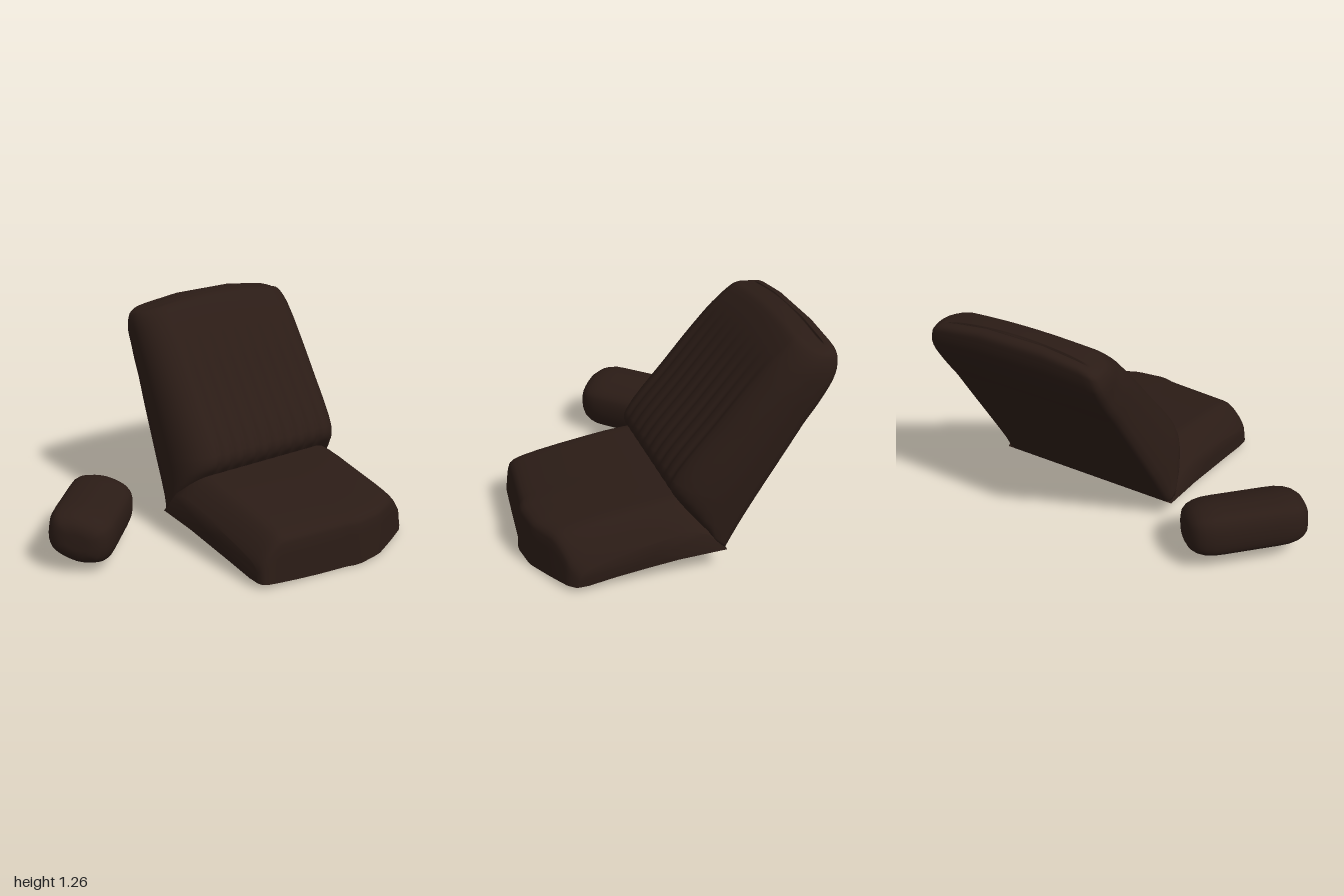
import * as THREE from 'three';
import { toCreasedNormals } from 'three/addons/utils/BufferGeometryUtils.js';

const { lerp, clamp } = THREE.MathUtils;

// Skin a list of closed rings (Vector3 arrays of equal length) and cap both ends.
function loft(rings, crease) {
  const n = rings[0].length, index = [];
  const points = rings.flat();
  for (let i = 0; i < rings.length - 1; i++) {
    for (let j = 0; j < n; j++) {
      const k = (j + 1) % n, a = i * n, b = a + n;
      index.push(a + j, a + k, b + k, a + j, b + k, b + j);
    }
  }
  const centre = ring => new THREE.Box3().setFromPoints(ring).getCenter(new THREE.Vector3());
  const first = points.length, end = (rings.length - 1) * n;
  points.push(centre(rings[0]), centre(rings[rings.length - 1]));
  for (let j = 0; j < n; j++) {
    const k = (j + 1) % n;
    index.push(first, k, j, first + 1, end + j, end + k);
  }
  const g = new THREE.BufferGeometry().setFromPoints(points);
  g.setIndex(index);
  g.computeVertexNormals();
  return crease ? toCreasedNormals(g, crease) : g;
}

// Piecewise linear lookup in [[x, y], ...]
function table(rows, x) {
  for (let i = 1; i < rows.length; i++) {
    const [a, b] = [rows[i - 1], rows[i]];
    if (x <= b[0]) return lerp(a[1], b[1], clamp((x - a[0]) / (b[0] - a[0]), 0, 1));
  }
  return rows[rows.length - 1][1];
}

// Seat cushion: a side profile swept across the width, with rounded shoulders
function seatGeometry() {
  const top = [[-0.12, 0.36], [-0.05, 0.38], [0.02, 0.38], [0.15, 0.37], [0.3, 0.352], [0.45, 0.332],
    [0.58, 0.312], [0.66, 0.297], [0.71, 0.285], [0.742, 0.272], [0.762, 0.256], [0.77, 0.235], [0.775, 0.18]];
  const bottom = [[0.785, 0], [0.7, 0.004], [0.5, 0.035], [0.27, 0.068], [0.05, 0.1], [-0.23, 0.12]];
  const nose = [[-0.205, 0.675], [-0.195, 0.705], [-0.17, 0.718], [0.05, 0.737], [0.35, 0.763], [0.42, 0.785],
    [0.6, 0.76], [0.75, 0.69], [0.88, 0.625], [0.92, 0.585]];
  const left = -0.205, right = 0.92, rings = [], steps = 40;
  for (let i = 0; i <= steps; i++) {
    const s = -Math.cos(Math.PI * i / steps);
    const x = lerp(left, right, (s + 1) / 2);
    const k = Math.max(0, 1 - (x - left) / 0.15, 1 - (right - x) / 0.17);
    const drop = (s < 0 ? 0.15 : 0.17) * Math.pow(k, 1.6);
    const front = table(nose, x) - 0.785;
    const place = ([z, y], dy) => {
      const f = clamp(z / 0.785, 0, 1);
      const widen = 0.025 * (1 - clamp((z + 0.2) / 0.6, 0, 1)) * (s + 1) / 2;
      return new THREE.Vector3(x + widen, y + dy(f), z + front * f);
    };
    rings.push([
      ...top.map(p => place(p, f => -drop * (0.75 + 0.25 * f) * clamp((p[1] - 0.03) / 0.2, 0, 1))),
      ...bottom.map(p => place(p, f => 0.03 * s * s * f)),
    ]);
  }
  return loft(rings, 1.0);
}

// Backrest: rounded sections stacked between a front and a back line
function backrestGeometry() {
  // [front z, front y, back z, back y, inset at the sides]
  const rows = [
    [-0.1, 0.25, -0.23, 0.12, 0], [0.0, 0.38, -0.27, 0.19, 0], [0.033, 0.44, -0.32, 0.28, 0],
    [0.025, 0.5, -0.38, 0.385, 0], [-0.2, 0.8, -0.55, 0.685, 0], [-0.35, 0.99, -0.63, 0.83, 0],
    [-0.47, 1.135, -0.705, 0.96, 0], [-0.565, 1.225, -0.775, 1.11, 0.008],
    [-0.605, 1.253, -0.787, 1.2, 0.03], [-0.645, 1.261, -0.782, 1.24, 0.06],
    [-0.69, 1.262, -0.76, 1.259, 0.09], [-0.72, 1.262, -0.73, 1.262, 0.11],
  ];
  const front = new THREE.CatmullRomCurve3(rows.map(r => new THREE.Vector3(r[4], r[1], r[0])));
  const back = new THREE.CatmullRomCurve3(rows.map(r => new THREE.Vector3(r[4], r[3], r[2])));
  // Section outline as [side -1..1, depth 0 back..1 front]
  const edge = [[1, 0.25], [1, 0.45], [0.985, 0.6], [0.95, 0.74], [0.9, 0.85], [0.84, 0.93], [0.77, 0.985]];
  const rear = [[0.995, 0.14], [0.975, 0.05], [0.93, 0.01], [0.85, 0], [0.4, 0]];
  const flip = list => list.map(([s, d]) => [-s, d]);
  const panel = Array.from({ length: 73 }, (_, i) => [lerp(-0.72, 0.72, i / 72), 1]);
  const outline = [...flip(edge), ...panel, ...[...edge].reverse(), ...rear, ...flip(rear).reverse()];
  const rings = [], steps = 55;
  for (let i = 0; i <= steps; i++) {
    const t = i / steps, F = front.getPoint(t), B = back.getPoint(t);
    const flute = 0.014 * table([[0.08, 0], [0.17, 1], [0.41, 0.8], [0.56, 0]], t);
    rings.push(outline.map(([s, d]) => {
      const p = B.clone().lerp(F, d);
      const h = clamp(((F.y + B.y) / 2 - 0.17) / 0.93, 0, 1);
      const xl = lerp(-0.207, -0.115, h) + F.x, xr = lerp(0.942, 1.0, h) - F.x;
      // vertical flutes across the front panel
      if (d === 1) p.z -= flute * Math.pow(Math.abs(Math.sin(Math.PI * s * 9 / 1.44 + Math.PI / 2)), 4)
        * clamp((0.72 - Math.abs(s)) / 0.03, 0, 1);
      p.y -= 0.045 * s * s * clamp((t - 0.45) / 0.35, 0, 1);
      p.x = lerp(xl, xr, (s + 1) / 2);
      return p;
    }));
  }
  return loft(rings);
}

// Loose pillow: a slanted rounded section that narrows at both ends
function pillowGeometry() {
  const section = [[-0.15, 0.335], [-0.09, 0.354], [0.02, 0.35], [0.14, 0.3], [0.182, 0.25], [0.182, 0.13],
    [0.145, 0.06], [0.08, 0.04], [-0.02, 0.045], [-0.14, 0.1], [-0.183, 0.15], [-0.183, 0.27]];
  const ring = new THREE.CatmullRomCurve3(section.map(([z, y]) => new THREE.Vector3(0, y - 0.2, z)), true).getPoints(48);
  ring.pop();
  const half = [[0.34, 0.3], [0.337, 0.5], [0.322, 0.7], [0.295, 0.84], [0.26, 0.93], [0.21, 0.99], [0.15, 1]];
  const stations = [...half.map(([u, k]) => [-u, k]), [0, 1], ...[...half].reverse()];
  return loft(stations.map(([u, k]) => ring.map(p => new THREE.Vector3(u, p.y * k, p.z * k))));
}

export function createModel() {
  const group = new THREE.Group();
  const leather = new THREE.MeshStandardMaterial({ color: 0x2b1c16 });
  const add = (name, geometry) => {
    const mesh = new THREE.Mesh(geometry, leather);
    mesh.name = name;
    group.add(mesh);
    return mesh;
  };
  add('seatCushion', seatGeometry());
  add('backrest', backrestGeometry());
  const pillow = add('pillow', pillowGeometry());
  pillow.position.set(-0.68, 0.2, -0.25);
  pillow.rotation.y = Math.PI / 4;
  return group;
}
